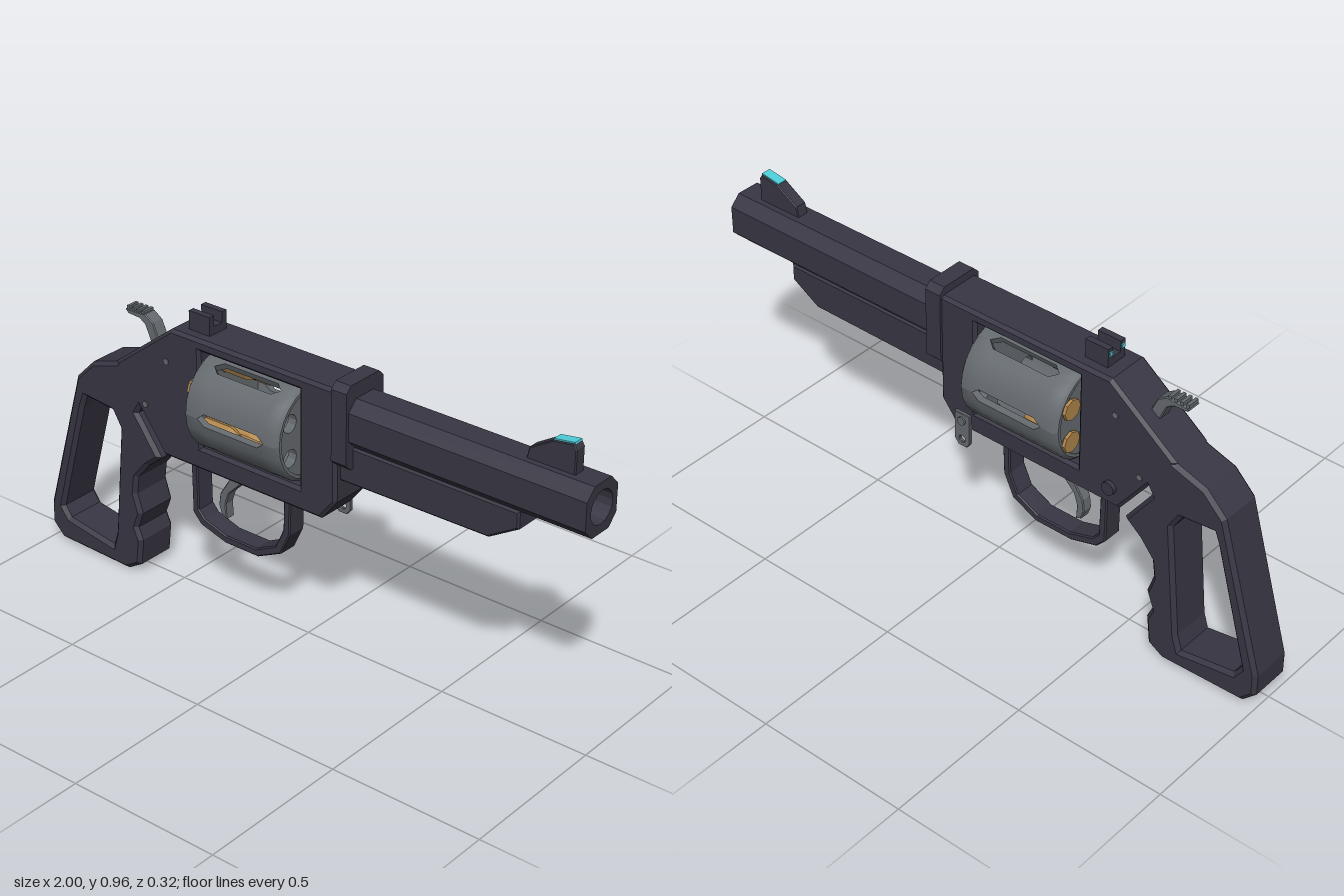
import * as THREE from 'three';

const mat = (name, color) => {
  const m = new THREE.MeshStandardMaterial({ color });
  m.name = name;
  return m;
};

export function createModel() {
  const root = new THREE.Group();
  root.name = 'revolver';
  const dark = mat('dark gunmetal', 0x383643);
  const steel = mat('grey steel', 0x666b70);
  const brass = mat('brass', 0xb0864c);
  const cyan = mat('cyan sight paint', 0x4fd0dc);

  const add = (name, geometry, material, parent = root) => {
    const m = new THREE.Mesh(geometry, material);
    m.name = name;
    parent.add(m);
    return m;
  };
  const vec = (pts) => pts.map(([x, y]) => new THREE.Vector2(x, y));
  const shapeOf = (pts, holes = []) => {
    const s = new THREE.Shape(vec(pts));
    holes.forEach((h) => s.holes.push(new THREE.Path(vec(h))));
    return s;
  };
  const circle = (cx, cy, r, n) => Array.from({ length: n }, (_, i) => {
    const a = (i / n) * Math.PI * 2;
    return [cx + r * Math.cos(a), cy + r * Math.sin(a)];
  });
  // Side outline in x,y, extruded evenly about z = 0 with chamfered edges
  const plate = (pts, holes, halfZ, bevel) => {
    const g = new THREE.ExtrudeGeometry(shapeOf(pts, holes), {
      depth: 2 * (halfZ - bevel), bevelEnabled: bevel > 0, bevelSegments: 1,
      bevelSize: bevel, bevelThickness: bevel, bevelOffset: -bevel,
    });
    return g.translate(0, 0, bevel - halfZ);
  };
  // Cross-section in z,y, extruded along x
  const alongX = (pts, holes, x0, x1) =>
    new THREE.ExtrudeGeometry(shapeOf(pts, holes), { depth: x1 - x0, bevelEnabled: false })
      .rotateY(Math.PI / 2).translate(x0, 0, 0);
  // Symmetric octagonal section
  const octagon = (w, y0, y1, c) => [
    [-w + c, y0], [w - c, y0], [w, y0 + c], [w, y1 - c],
    [w - c, y1], [-w + c, y1], [-w, y1 - c], [-w, y0 + c]];

  // Frame and open grip
  add('frame', plate([
    [-0.46, 0.9], [-0.69, 0.725], [-0.5, 0.47], [0.105, 0.47], [0.16, 0.54], [0.16, 0.9],
  ], [
    [[-0.35, 0.545], [-0.35, 0.86], [0.025, 0.86], [0.025, 0.545]],
    [[-0.607, 0.577], [-0.545, 0.515], [-0.527, 0.475], [-0.54, 0.49]].reverse(),
  ].slice(0, 1), 0.075, 0.01), dark);
  add('grip', plate([
    [-0.62, 0.76], [-0.69, 0.722], [-0.79, 0.69], [-0.86, 0.62], [-1, 0.13], [-1, 0.06], [-0.955, 0.015],
    [-0.675, 0.007], [-0.62, 0.04], [-0.61, 0.13], [-0.628, 0.17], [-0.607, 0.225],
    [-0.628, 0.29], [-0.62, 0.35], [-0.575, 0.405], [-0.52, 0.45], [-0.61, 0.575], [-0.56, 0.66],
  ], [[
    [-0.825, 0.56], [-0.715, 0.55], [-0.685, 0.5], [-0.72, 0.12], [-0.735, 0.07],
    [-0.92, 0.1], [-0.945, 0.135], [-0.84, 0.52],
  ]], 0.075, 0.012), dark);

  // Barrel group
  add('barrel', alongX(octagon(0.073, 0.72, 0.877, 0.034), [circle(0, 0.8, 0.052, 16)], 0.19, 1), dark);
  add('barrelCollar', alongX(octagon(0.083, 0.66, 0.925, 0.02), [], 0.15, 0.205), dark);
  add('underLug', plate([
    [0.15, 0.605], [0.675, 0.61], [0.775, 0.67], [0.775, 0.725], [0.15, 0.725],
  ], [], 0.052, 0.006), dark);

  // Front sight with painted top
  add('frontSight', plate([
    [0.765, 0.865], [0.775, 0.91], [0.85, 0.956], [0.915, 0.966], [0.925, 0.95], [0.925, 0.865],
  ], [], 0.02, 0.003), dark);
  const paint = add('frontSightPaint', new THREE.BoxGeometry(0.068, 0.006, 0.032), cyan);
  paint.position.set(0.883, 0.962, 0);
  paint.rotation.z = 0.15;

  // Notched rear sight with two painted dots
  add('rearSight', alongX([
    [-0.037, 0.88], [0.037, 0.88], [0.037, 0.96], [0.017, 0.96], [0.017, 0.925],
    [-0.017, 0.925], [-0.017, 0.96], [-0.037, 0.96],
  ], [], -0.42, -0.34), dark);
  for (const s of [-1, 1]) {
    add('rearSightDot', new THREE.BoxGeometry(0.005, 0.014, 0.012), cyan).position.set(-0.421, 0.942, s * 0.027);
  }

  // Cylinder: six bent panels that narrow to leave pointed slots between them
  const drum = new THREE.Group();
  drum.name = 'cylinder';
  drum.position.y = 0.7;
  root.add(drum);
  const stations = [-0.34, -0.33, -0.285, -0.26, -0.06, -0.035, 0.005, 0.015];
  const outer = [0.148, 0.16, 0.16, 0.16, 0.16, 0.16, 0.16, 0.148];
  const gap = [0, 0, 0, 0.125, 0.125, 0, 0, 0];
  for (let k = 0; k < 6; k++) {
    const g = new THREE.BoxGeometry(1, 1, 1, 7, 4, 1);
    const p = g.attributes.position;
    for (let i = 0; i < p.count; i++) {
      const n = Math.round((p.getX(i) + 0.5) * 7);
      const a = (k + 0.5) * Math.PI / 3 + p.getY(i) * (Math.PI / 3 - 2 * gap[n]);
      const r = p.getZ(i) > 0 ? outer[n] : 0.138;
      p.setXYZ(i, stations[n], r * Math.sin(a), r * Math.cos(a));
    }
    g.computeVertexNormals();
    add('cylinderWall', g, steel, drum);
  }
  const seats = Array.from({ length: 6 }, (_, k) => {
    const a = (k + 0.5) * Math.PI / 3;
    return [0.112 * Math.cos(a), 0.112 * Math.sin(a)];
  });
  for (const x of [-0.337, -0.018]) {
    add('cylinderEnd', alongX(circle(0, 0, 0.145, 24), seats.map(([z, y]) => circle(z, y, 0.029, 12)), x, x + 0.03), steel, drum);
  }

  // Cartridges
  const round = [[0, -0.35], [0.034, -0.35], [0.034, -0.34], [0.027, -0.338], [0.027, -0.215], [0.022, -0.2], [0.012, -0.18], [0, -0.178]];
  for (const [z, y] of seats) {
    const g = new THREE.LatheGeometry(vec(round), 8).rotateZ(-Math.PI / 2).toNonIndexed();
    g.computeVertexNormals();
    add('cartridge', g, brass, drum).position.set(0, y, z);
  }

  // Trigger guard and trigger
  add('triggerGuard', plate([
    [-0.43, 0.48], [-0.427, 0.285], [-0.395, 0.25], [-0.3, 0.222], [-0.17, 0.222], [-0.08, 0.265], [-0.045, 0.34], [-0.04, 0.48],
    [-0.066, 0.48], [-0.07, 0.35], [-0.1, 0.285], [-0.175, 0.248], [-0.295, 0.248], [-0.38, 0.275], [-0.402, 0.3], [-0.405, 0.48],
  ], [], 0.034, 0.004), dark);
  add('trigger', plate([
    [-0.29, 0.48], [-0.295, 0.43], [-0.33, 0.375], [-0.335, 0.335], [-0.325, 0.305], [-0.305, 0.295],
    [-0.308, 0.345], [-0.295, 0.385], [-0.25, 0.43], [-0.235, 0.48],
  ], [], 0.018, 0.003), steel);

  // Hammer with a ridged thumb spur
  add('hammer', plate([
    [-0.69, 0.88], [-0.61, 0.885], [-0.58, 0.865], [-0.555, 0.81], [-0.47, 0.865], [-0.47, 0.8],
    [-0.6, 0.75], [-0.615, 0.78], [-0.59, 0.8], [-0.612, 0.85], [-0.635, 0.865], [-0.68, 0.868],
  ], [], 0.022, 0.003), steel);
  for (let i = 0; i < 4; i++) {
    add('hammerRidge', new THREE.BoxGeometry(0.01, 0.012, 0.04), steel).position.set(-0.68 + i * 0.02, 0.886, 0);
  }

  // Lanyard tab on the far side, release button and small pins
  add('lanyardTab', plate([
    [0.04, 0.53], [0.04, 0.43], [0.053, 0.412], [0.083, 0.412], [0.098, 0.43], [0.098, 0.53],
  ], [circle(0.069, 0.438, 0.011, 10)], 0.006, 0.002).translate(0, 0, -0.08), steel);
  const disc = (name, x, y, z, r, h, material) => {
    add(name, new THREE.CylinderGeometry(r, r, h, 12).rotateX(Math.PI / 2), material).position.set(x, y, z);
  };
  disc('tabScrew', 0.069, 0.505, -0.087, 0.014, 0.01, steel);
  disc('releaseButton', -0.47, 0.535, -0.08, 0.022, 0.018, dark);
  for (const s of [-1, 1]) {
    disc('framePin', -0.48, 0.79, s * 0.075, 0.01, 0.006, steel);
    disc('framePin', -0.57, 0.62, s * 0.075, 0.01, 0.006, steel);
  }
  return root;
}
